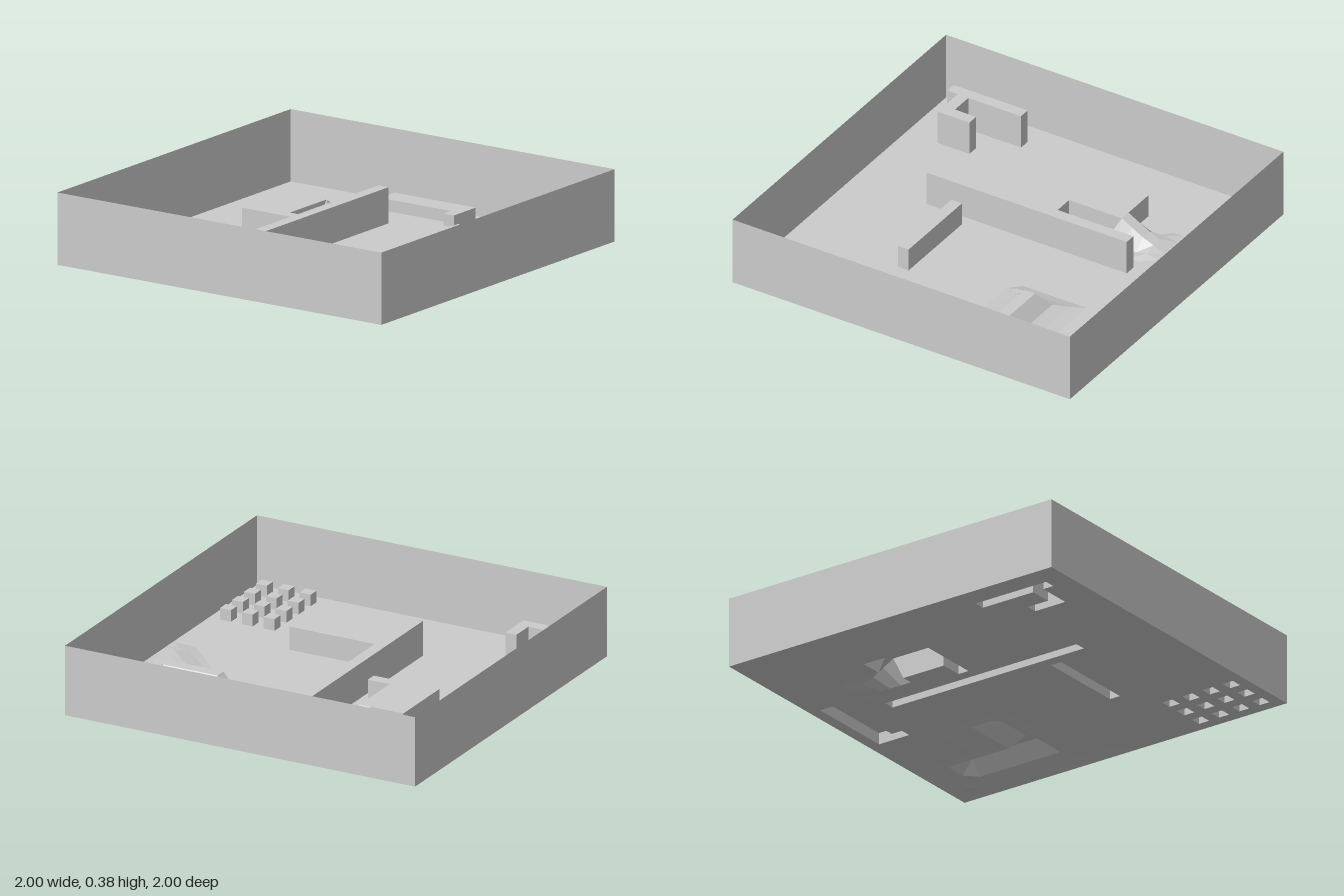
import * as THREE from 'three';

const N = 32, C = 2 / N, WALL = 0.375;

// Raised blocks: height and footprint rectangles [x0, x1, z0, z1] in cells from the centre
const blocks = [
  { name: 'longWall', h: 0.1875, rects: [[-3, -2, -10, 9]] },
  { name: 'shortWall', h: 0.125, rects: [[-1, 7, 5, 6]] },
  { name: 'hookWall', h: 0.1875, rects: [[-14, -13, 7, 14], [-13, -10, 12, 13], [-11, -10, 10, 13]] },
  { name: 'backLedge', h: 0.0625, rects: [[-5, 3, -15, -13], [2, 3, -13, -12]] },
  { name: 'platform', h: 0.125, rects: [[-10, -6, -7, -1], [-6, -4, -2, -1]] },
  { name: 'pillars', h: 0.0625, rects: [] },
];
for (const x of [10, 12, 14])
  for (const z of [8, 10, 12, 14]) blocks[5].rects.push([x, x + 1, z, z + 1]);

const inside = ([x0, x1, z0, z1], u, v) => u >= x0 && u < x1 && v >= z0 && v < z1;
const ownerOf = (u, v) => blocks.find(b => b.rects.some(r => inside(r, u, v)));

// Height falling off in steps around a rectangular crest
const crest = ([x0, x1, z0, z1], steps, u, v) => {
  const d = Math.max(x0 - u, u - x1, z0 - v, v - z1, 0);
  return steps[d] ?? 0;
};

// Ground height at a grid corner
function ground(u, v) {
  const slope = [0.125, 0.045, 0.02, 0];
  let h = Math.max(crest([7, 13, -7, -6], slope, u, v), crest([12, 13, -13, -6], slope, u, v));
  // Low spur running forward along the side
  if (v > -7) {
    const x = u * C, z = v * C;
    h = Math.max(h, Math.min(0.035, (x - 0.5 - (z + 0.3) * 0.9) * 0.2, (0.125 - z) * 0.2, (1 - x) * 0.3));
  }
  // Small ramp leading up to the platform
  if ((u === -7 || u === -6) && v >= -11 && v <= -7) h = [0, 0.03, 0.055, 0.09, 0.125][v + 11];
  if ((u === -8 || u === -5) && v === -10) h = 0.015;
  if (Math.abs(u) === 16 || Math.abs(v) === 16) h = 0;
  return Math.max(0, h);
}

function quad(list, a, b, c, d) {
  list.push(...a, ...b, ...c, ...a, ...c, ...d);
}

export function createModel() {
  const group = new THREE.Group();
  group.name = 'walledArena';
  const material = new THREE.MeshStandardMaterial({ color: 0xcccccc, side: THREE.DoubleSide, flatShading: true });
  const parts = { floor: [] };
  for (const b of blocks) parts[b.name] = [];

  for (let u = -16; u < 16; u++) {
    for (let v = -16; v < 16; v++) {
      const block = ownerOf(u, v);
      const list = parts[block ? block.name : 'floor'];
      const point = (i, j) => [i * C, block ? block.h : ground(i, j), j * C];
      // Top of the cell
      quad(list, point(u, v), point(u, v + 1), point(u + 1, v + 1), point(u + 1, v));
      if (!block) continue;
      // Upright sides where the block meets the ground
      const corners = [[u, v], [u, v + 1], [u + 1, v + 1], [u + 1, v]];
      const neighbours = [[u - 1, v], [u, v + 1], [u + 1, v], [u, v - 1]];
      neighbours.forEach(([nu, nv], k) => {
        if (ownerOf(nu, nv) === block) return;
        const [a, b] = [corners[k], corners[(k + 1) % 4]];
        const low = ([i, j]) => [i * C, ground(i, j), j * C];
        quad(list, low(a), low(b), point(...b), point(...a));
      });
    }
  }

  for (const [name, positions] of Object.entries(parts)) {
    const geometry = new THREE.BufferGeometry();
    geometry.setAttribute('position', new THREE.Float32BufferAttribute(positions, 3));
    geometry.computeVertexNormals();
    const mesh = new THREE.Mesh(geometry, material);
    mesh.name = name;
    group.add(mesh);
  }

  // Thin boundary walls
  ['frontBoundary', 'leftBoundary', 'backBoundary', 'rightBoundary'].forEach((name, k) => {
    const geometry = new THREE.PlaneGeometry(2, WALL).translate(0, WALL / 2, 1).rotateY(k * Math.PI / 2);
    const mesh = new THREE.Mesh(geometry, material);
    mesh.name = name;
    group.add(mesh);
  });
  return group;
}
